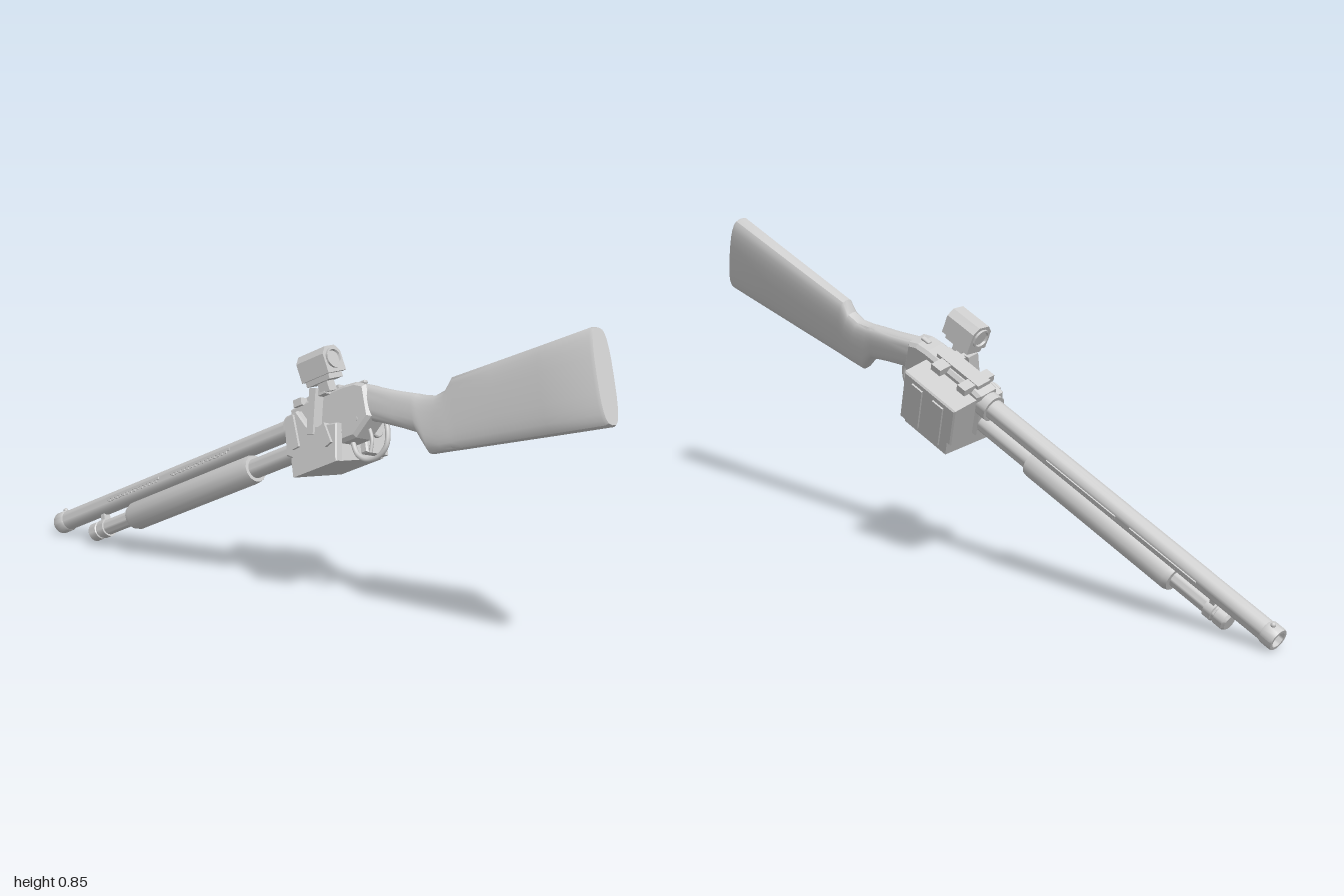
import * as THREE from 'three';
import { toCreasedNormals } from 'three/addons/utils/BufferGeometryUtils.js';
import { RoundedBoxGeometry } from 'three/addons/geometries/RoundedBoxGeometry.js';

const material = new THREE.MeshStandardMaterial({ color: 0xcccccc });

export function createModel() {
  const model = new THREE.Group();
  // Local frame: origin on the bore, +x toward the butt, +y up
  const gun = new THREE.Group();
  gun.name = 'shotgun';
  gun.position.set(0, 0.433, 0.121);
  const tilt = new THREE.Group();
  tilt.name = 'tilt';
  tilt.rotation.set(-0.272, 0, 0.455);
  tilt.add(gun);
  model.add(tilt);

  const add = (name, geometry, x = 0, y = 0, z = 0, parent = gun) => {
    const mesh = new THREE.Mesh(geometry, material);
    mesh.name = name;
    mesh.position.set(x, y, z);
    parent.add(mesh);
    return mesh;
  };
  const box = (name, x0, x1, y0, y1, z0, z1, parent) =>
    add(name, new THREE.BoxGeometry(x1 - x0, y1 - y0, z1 - z0),
      (x0 + x1) / 2, (y0 + y1) / 2, (z0 + z1) / 2, parent);
  // Turned part along x from [x, radius] pairs
  const turned = (name, profile, y = 0, z = 0, parent = gun, sides = 24) => {
    const g = new THREE.LatheGeometry(profile.map(([x, r]) => new THREE.Vector2(r, x)), sides);
    g.rotateZ(-Math.PI / 2);
    return add(name, toCreasedNormals(g, 0.6), 0, y, z, parent);
  };
  const shape = (pts) => new THREE.Shape(pts.map((p) => new THREE.Vector2(...p)));
  const plate = (name, pts, z0, z1, bevel = 0.004) => {
    const g = new THREE.ExtrudeGeometry(shape(pts), {
      depth: z1 - z0 - 2 * bevel, bevelEnabled: true, bevelSize: bevel,
      bevelOffset: -bevel, bevelThickness: bevel, bevelSegments: 1,
    });
    return add(name, g, 0, 0, z0 + bevel);
  };
  const tube = (name, pts, r) => add(name, new THREE.TubeGeometry(
    new THREE.CatmullRomCurve3(pts.map((p) => new THREE.Vector3(p[0], p[1], 0))), 32, r, 8));

  // Barrel with hollow muzzle and bead
  turned('barrel', [[-0.84, 0.028], [0.18, 0.028]]);
  turned('muzzle', [[-0.8, 0], [-0.8, 0.021], [-0.88, 0.021], [-0.88, 0.029], [-0.875, 0.031],
    [-0.845, 0.031], [-0.84, 0.028]]);
  turned('barrelCollar', [[0.125, 0.028], [0.125, 0.037], [0.17, 0.037]]);
  add('frontBead', new THREE.SphereGeometry(0.007, 12, 8), -0.855, 0.033);

  // Magazine tube, cap and barrel clamp
  const magY = -0.066;
  turned('magazineTube', [[-0.68, 0.022], [-0.04, 0.022], [-0.04, 0.027], [0.17, 0.027]], magY);
  turned('magazineCap', [[-0.735, 0], [-0.735, 0.02], [-0.728, 0.026], [-0.7, 0.026], [-0.698, 0.023],
    [-0.692, 0.023], [-0.69, 0.027], [-0.665, 0.027], [-0.665, 0.02]], magY);
  box('barrelClamp', -0.685, -0.67, magY, -0.01, -0.011, 0.011);

  // Sliding fore-end with a faceted section
  turned('foreEnd', [[-0.55, 0.022], [-0.55, 0.035], [-0.535, 0.04], [-0.05, 0.04],
    [-0.035, 0.037], [-0.035, 0.022]], magY, 0, gun, 14);

  // Toothed strips along both sides of the barrel
  for (const side of [-1, 1]) {
    for (const [x0, x1] of [[-0.63, -0.4], [-0.35, -0.1]]) {
      const z = side * 0.0275;
      box('barrelStrip', x0, x1, 0.001, 0.008, z - 0.003, z + 0.003);
      for (let x = x0 + 0.006; x < x1 - 0.006; x += 0.016) {
        box('stripTooth', x, x + 0.008, -0.005, 0.003, z - 0.003, z + 0.003);
      }
    }
  }

  // Receiver
  plate('receiver', [[0.15, 0.04], [0.19, 0.046], [0.36, 0.047], [0.4, 0.043], [0.432, 0.028],
    [0.437, -0.06], [0.375, -0.1], [0.15, -0.1]], -0.035, 0.035, 0.009);
  for (const [x, y] of [[0.33, -0.07], [0.39, -0.055]]) {
    const pin = add('receiverPin', new THREE.CylinderGeometry(0.006, 0.006, 0.074, 12), x, y, 0);
    pin.rotation.x = Math.PI / 2;
  }
  add('safetyButton', new RoundedBoxGeometry(0.03, 0.01, 0.014, 2, 0.004), 0.395, 0.045, 0);

  // Trigger and guard
  tube('triggerGuard', [[0.335, -0.095], [0.348, -0.135], [0.38, -0.158], [0.42, -0.16],
    [0.452, -0.14], [0.463, -0.105], [0.46, -0.07]], 0.007);
  tube('trigger', [[0.4, -0.075], [0.405, -0.11], [0.395, -0.14]], 0.005);

  // Stock lofted from rounded sections: x, top, bottom, half width
  const sections = [
    [0.4, 0.037, -0.062, 0.028], [0.43, 0.028, -0.07, 0.029], [0.513, -0.011, -0.11, 0.027],
    [0.575, -0.037, -0.143, 0.027], [0.59, -0.043, -0.175, 0.027], [0.605, -0.05, -0.206, 0.026],
    [0.65, -0.066, -0.213, 0.027], [0.685, -0.062, -0.219, 0.027], [0.712, -0.036, -0.224, 0.027],
    [0.85, -0.041, -0.247, 0.03], [1.0, -0.046, -0.272, 0.032], [1.165, -0.051, -0.299, 0.035],
    [1.174, -0.055, -0.296, 0.032],
  ];
  const N = 24;
  const verts = [];
  const faces = [];
  const soft = (v, p) => Math.sign(v) * Math.abs(v) ** p;
  for (const [x, top, bottom, w] of sections) {
    for (let i = 0; i < N; i++) {
      const a = (i / N) * Math.PI * 2;
      verts.push(x, (top + bottom) / 2 + ((top - bottom) / 2) * soft(Math.sin(a), 0.75), w * soft(Math.cos(a), 0.6));
    }
  }
  for (let s = 0; s < sections.length - 1; s++) {
    for (let i = 0; i < N; i++) {
      const a = s * N + i, b = s * N + ((i + 1) % N);
      faces.push(a, a + N, b, b, a + N, b + N);
    }
  }
  const last = (sections.length - 1) * N;
  for (let i = 1; i < N - 1; i++) {
    faces.push(0, i, i + 1, last, last + i + 1, last + i);
  }
  const stock = new THREE.BufferGeometry();
  stock.setAttribute('position', new THREE.Float32BufferAttribute(verts, 3));
  stock.setIndex(faces);
  add('stock', toCreasedNormals(stock, 0.6)).material = new THREE.MeshStandardMaterial({ color: 0xcccccc, side: THREE.DoubleSide });

  // Housing under the receiver, its floor sloping sideways
  const housing = new THREE.ExtrudeGeometry(shape([[-0.058, -0.152], [0.121, -0.124],
    [0.121, -0.08], [-0.058, -0.1]]), { depth: 0.16, bevelEnabled: false });
  housing.rotateY(Math.PI / 2);
  add('lowerHousing', housing, 0.163);

  // Side housing with two round caps on its rear face
  plate('sideHousing', [[0.15, 0.037], [0.345, 0.037], [0.345, -0.122], [0.165, -0.122],
    [0.165, -0.085], [0.15, -0.085]], -0.121, -0.04);
  for (const y of [-0.005, -0.06]) {
    turned('roundCap', [[0.34, 0.02], [0.352, 0.02], [0.355, 0.017], [0.355, 0]], y, -0.08);
  }
  box('housingRib', 0.19, 0.23, -0.11, 0.02, -0.126, -0.118);
  box('housingRib', 0.27, 0.31, -0.11, 0.02, -0.126, -0.118);

  // Clamp plate and straps on the left flank
  plate('clampPlate', [[0.15, 0.012], [0.2, 0.02], [0.235, -0.035], [0.34, -0.052],
    [0.325, -0.15], [0.165, -0.15], [0.165, -0.1], [0.145, -0.088]], 0.033, 0.058);
  for (const [x, y, len, turn] of [[0.262, 0, 0.12, -0.25], [0.185, -0.035, 0.09, 0.1], [0.3, -0.075, 0.06, 0.3]]) {
    const strap = add('strap', new THREE.BoxGeometry(0.024, len, 0.034), x, y, 0.048);
    strap.rotation.z = turn;
  }
  // Bridge over the receiver
  box('bridge', 0.18, 0.21, 0.036, 0.056, -0.06, 0.045);
  box('bridge', 0.275, 0.31, 0.036, 0.056, -0.06, 0.055);
  box('bridgeRail', 0.17, 0.33, 0.046, 0.058, -0.022, 0.022);

  // Canted sight on a short arm
  const sight = new THREE.Group();
  sight.name = 'sight';
  sight.position.set(0.312, 0.113, 0.062);
  sight.rotation.x = 0.27;
  gun.add(sight);
  plateBody(sight);
  turned('eyepiece', [[0.045, 0.027], [0.056, 0.027], [0.056, 0.022], [0.05, 0.02], [0.05, 0]], 0.002, 0, sight);
  turned('objective', [[-0.05, 0], [-0.05, 0.02], [-0.056, 0.022], [-0.056, 0.027], [-0.045, 0.027]], 0.002, 0, sight);
  box('sightArm', -0.02, 0.015, -0.075, -0.03, -0.016, 0.012, sight);
  box('sightFoot', -0.045, 0.04, -0.048, -0.032, -0.026, 0.026, sight);

  // Chamfered sight body
  function plateBody(parent) {
    const g = new THREE.ExtrudeGeometry(shape([[-0.034, -0.034], [0.034, -0.034], [0.034, 0.018],
      [0.018, 0.036], [-0.018, 0.036], [-0.034, 0.018]]), { depth: 0.1, bevelEnabled: false });
    g.rotateY(Math.PI / 2);
    add('sightBody', g, -0.05, 0, 0, parent);
  }
  return model;
}
